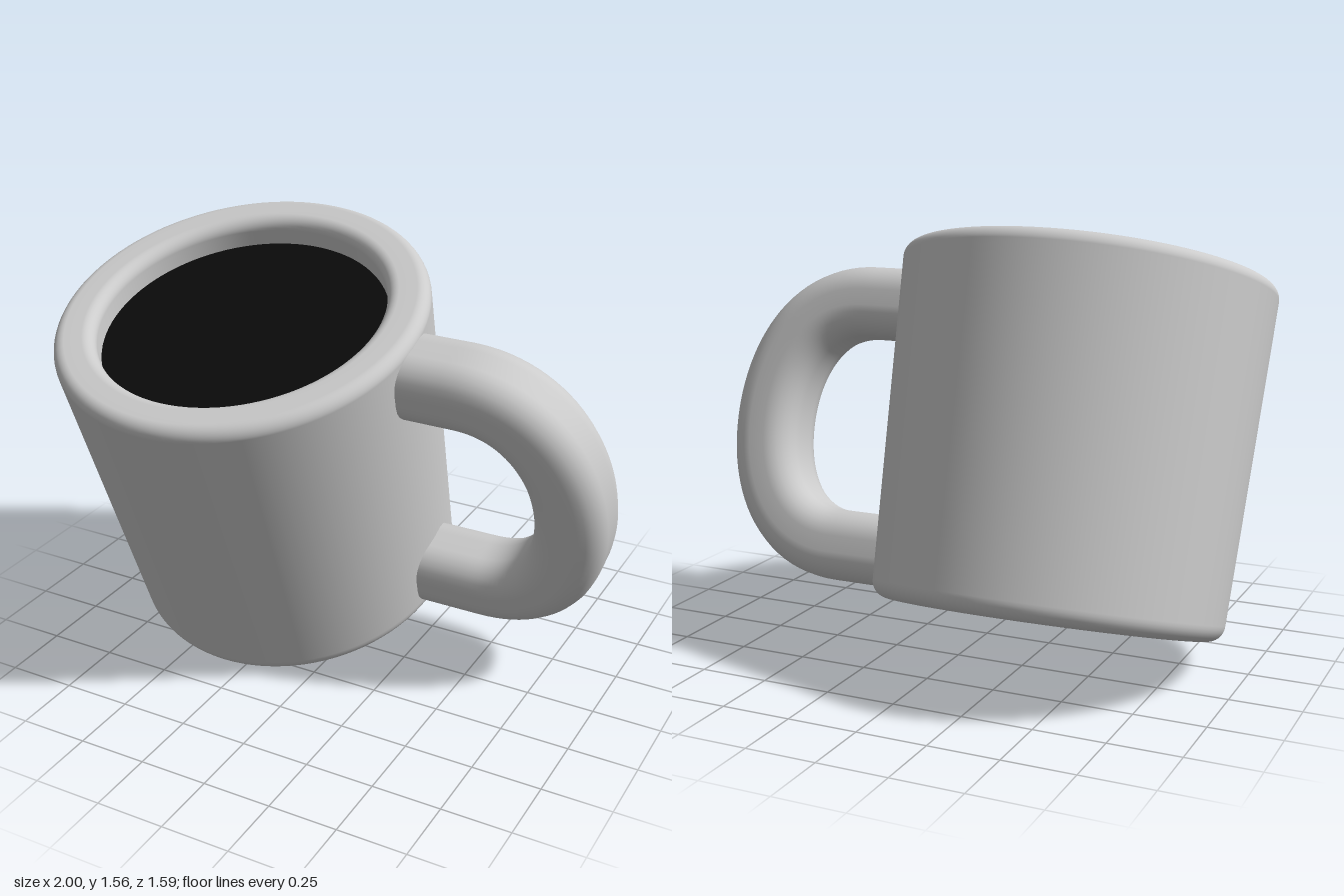
import * as THREE from 'three';
import { mergeVertices } from 'three/addons/utils/BufferGeometryUtils.js';

const grey = new THREE.MeshStandardMaterial({ color: 0xcccccc });
const black = new THREE.MeshStandardMaterial({ color: 0x0a0a0a });

const TILT = 0.325;
const HEIGHT = 1.245;
const BASE_R = 0.618;
const RIM_R = 0.668;
const INNER_R = 0.515;

function named(name, geometry, material) {
  const mesh = new THREE.Mesh(geometry, material);
  mesh.name = name;
  return mesh;
}

// Points of a rounded profile corner, angles in degrees
function arc(cx, cy, r, from, to, steps = 8) {
  return Array.from({ length: steps + 1 }, (_, i) => {
    const a = THREE.MathUtils.degToRad(from + ((to - from) * i) / steps);
    return new THREE.Vector2(cx + r * Math.cos(a), cy + r * Math.sin(a));
  });
}

// Thick-walled cup with a rounded foot and lip
function cupGeometry() {
  const foot = 0.06, lip = 0.045;
  const profile = [
    new THREE.Vector2(0, 0),
    new THREE.Vector2(BASE_R - foot - 0.01, 0),
    ...arc(BASE_R - foot, foot, foot, -90, 0),
    ...arc(RIM_R - lip, HEIGHT - lip, lip, 0, 90),
    ...arc(INNER_R + lip, HEIGHT - lip, lip, 90, 180),
    new THREE.Vector2(INNER_R, 0.18),
    ...arc(INNER_R - 0.08, 0.18, 0.08, 0, -90),
    new THREE.Vector2(0, 0.1),
  ];
  return new THREE.LatheGeometry(profile, 96);
}

// Rounded-rectangle section swept along a D-shaped path
function handleGeometry() {
  const w = 0.14, t = 0.13, r = 0.1;
  const section = new THREE.Shape([
    ...arc(w - r, t - r, r, 0, 90, 6),
    ...arc(r - w, t - r, r, 90, 180, 6),
    ...arc(r - w, r - t, r, 180, 270, 6),
    ...arc(w - r, r - t, r, 270, 360, 6),
  ]);

  const v = (x, y) => new THREE.Vector3(x, y, 0);
  const top = 1.075, low = 0.158, mid = (top + low) / 2, out = 1.203;
  const path = new THREE.CurvePath();
  path.add(new THREE.LineCurve3(v(0.54, top), v(0.83, top)));
  path.add(new THREE.CubicBezierCurve3(v(0.83, top), v(1.07, top), v(out, 0.87), v(out, mid)));
  path.add(new THREE.CubicBezierCurve3(v(out, mid), v(out, 2 * mid - 0.87), v(1.07, low), v(0.83, low)));
  path.add(new THREE.LineCurve3(v(0.83, low), v(0.54, low)));

  const swept = new THREE.ExtrudeGeometry(section, { steps: 72, extrudePath: path });
  swept.deleteAttribute('normal');
  swept.deleteAttribute('uv');
  const smooth = mergeVertices(swept, 1e-4);
  smooth.computeVertexNormals();
  return smooth;
}

export function createModel() {
  const model = new THREE.Group();
  model.name = 'tiltedMug';

  // The whole mug leans forward
  const mug = new THREE.Group();
  mug.name = 'mug';
  mug.rotation.x = TILT;
  mug.position.set(-0.333, 0.185, -0.235);
  model.add(mug);

  mug.add(named('cup', cupGeometry(), grey));
  mug.add(named('handle', handleGeometry(), grey));

  // Drink surface just below the lip
  const drink = named('drink', new THREE.CircleGeometry(INNER_R + 0.005, 96), black);
  drink.rotation.x = -Math.PI / 2;
  drink.position.y = HEIGHT - 0.105;
  mug.add(drink);

  return model;
}
